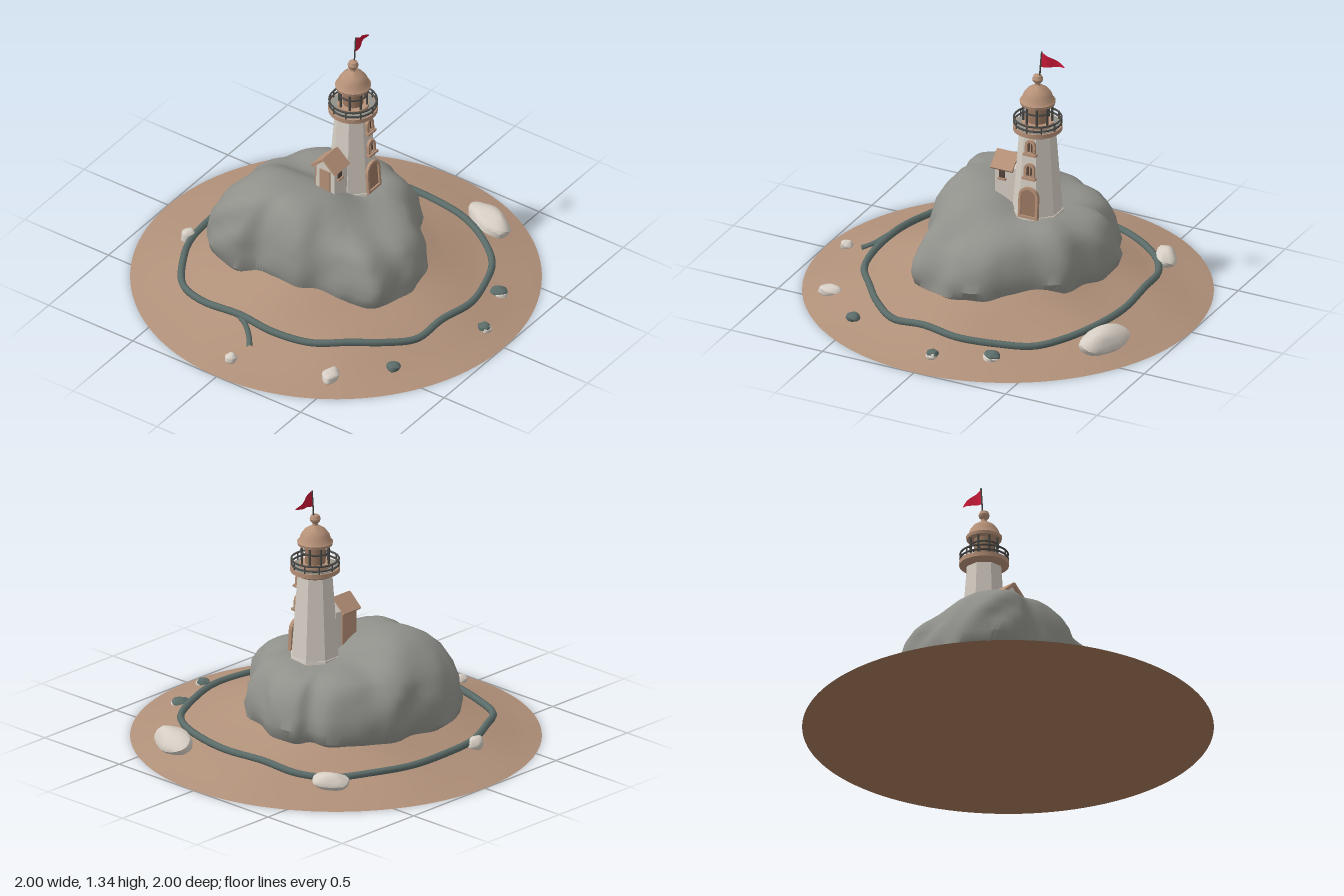
import * as THREE from 'three';
import { toCreasedNormals } from 'three/addons/utils/BufferGeometryUtils.js';

const mat = (name, color, side = THREE.FrontSide) => {
  const m = new THREE.MeshStandardMaterial({ color, side });
  m.name = name;
  return m;
};
const V = (x, y, z) => new THREE.Vector3(x, y, z);

// Ground height at a distance from the centre
const PROFILE = [[0, 0.25], [0.3, 0.23], [0.4, 0.195], [0.5, 0.155], [0.6, 0.12], [0.7, 0.085], [0.8, 0.055], [0.9, 0.026], [1, 0]];
function groundY(x, z) {
  const r = Math.min(Math.hypot(x, z), 1);
  const i = Math.max(1, PROFILE.findIndex(p => p[0] >= r));
  const [a, b] = [PROFILE[i - 1], PROFILE[i]];
  const y = a[1] + (b[1] - a[1]) * (r - a[0]) / (b[0] - a[0]);
  return y + 0.022 * r * (1 - r) * (Math.sin(9 * x + 2 * z) + Math.sin(11 * z - 4 * x));
}

// Skin made from closed rings of points, running clockwise seen from above, outermost first
function loft(rings) {
  const n = rings[0].length, index = [];
  for (let j = 0; j < rings.length - 1; j++) for (let i = 0; i < n; i++) {
    const k = (i + 1) % n, a = j * n + i, b = j * n + k, c = a + n, d = b + n;
    index.push(a, c, b, b, c, d);
  }
  const g = new THREE.BufferGeometry();
  g.setAttribute('position', new THREE.Float32BufferAttribute(rings.flat().flatMap(p => [p.x, p.y, p.z]), 3));
  g.setIndex(index);
  g.computeVertexNormals();
  return g;
}

// Arched outline standing on y = 0
function archShape(w, h) {
  const s = new THREE.Shape(), r = w / 2;
  s.moveTo(-r, 0);
  s.lineTo(r, 0);
  s.lineTo(r, h - r);
  s.absarc(0, h - r, r, 0, Math.PI, false);
  s.lineTo(-r, 0);
  return s;
}

export function createModel() {
  const model = new THREE.Group();
  const sand = mat('sand', 0xb09079), soil = mat('brown earth', 0xa67a5a);
  const rockGrey = mat('rock grey', 0x90918b), plaster = mat('plaster white', 0xd6cec4);
  const trim = mat('warm trim', 0xb69178), iron = mat('dark iron', 0x4b4a46);
  const ropeTeal = mat('rope teal', 0x5b6c69), glass = mat('dark glass', 0x57463c);
  const wood = mat('door wood', 0x9a7860), red = mat('flag red', 0xcb1838, THREE.DoubleSide);
  const add = (parent, name, geo, m, x = 0, y = 0, z = 0) => {
    const mesh = new THREE.Mesh(geo, m);
    mesh.name = name;
    mesh.position.set(x, y, z);
    parent.add(mesh);
    return mesh;
  };

  // Island mound
  const rings = [];
  for (let j = 0; j <= 30; j++) rings.push(Array.from({ length: 120 }, (_, i) => {
    const a = i / 120 * Math.PI * 2, r = 1 - j / 30;
    const x = r * Math.cos(a), z = r * Math.sin(a);
    return V(x, groundY(x, z), z);
  }));
  add(model, 'mound', loft(rings), sand);
  add(model, 'underside', new THREE.CircleGeometry(1, 120), soil).rotation.x = Math.PI / 2;

  // Large rock: outline seen from above, swept up and inwards
  const outline = [[-0.4, -0.42], [-0.32, -0.53], [-0.18, -0.57], [0, -0.55], [0.13, -0.55], [0.23, -0.5], [0.33, -0.45], [0.43, -0.35],
    [0.45, -0.25], [0.51, -0.2], [0.52, -0.05], [0.46, 0.07], [0.42, 0.2], [0.3, 0.28], [0.2, 0.38], [0.1, 0.47], [-0.05, 0.51],
    [-0.15, 0.47], [-0.29, 0.44], [-0.33, 0.3], [-0.35, 0.15], [-0.4, 0.05], [-0.4, -0.1], [-0.38, -0.2], [-0.42, -0.3]];
  const edge = new THREE.CatmullRomCurve3(outline.map(([x, z]) => V(x, 0, z)), true).getPoints(140).slice(0, -1);
  const layers = [[0.92, 0], [0.99, 0.12], [1.01, 0.3], [0.99, 0.48], [0.96, 0.62], [0.92, 0.75], [0.86, 0.86], [0.78, 0.93], [0.69, 0.97],
    [0.58, 1], [0.44, 1], [0.3, 1], [0.15, 1], [0, 1]];
  const cx = 0.04, cz = -0.06;
  const rockRings = layers.map(([s, t]) => edge.map(p => {
    const bump = Math.sin(13 * p.x + 9 * t) * Math.sin(12 * p.z - 7 * t) + 0.5 * Math.sin(25 * p.x - 19 * p.z + 11 * t)
      + 0.6 * Math.abs(Math.sin(10 * p.x + 14 * p.z - 5 * t)) - 0.3;
    const k = s * (1 + 0.02 * bump * (t < 0.95 ? 1 : 0.3));
    const x = cx + (p.x - cx) * k, z = cz + (p.z - cz) * k;
    const hump = Math.exp(-(((x + 0.2) / 0.24) ** 4) - ((z + 0.17) / 0.29) ** 4);
    const top = 0.468 + 0.105 * hump - 0.14 * Math.max(0, z - 0.15) - 0.1 * Math.max(0, x - 0.3)
      + 0.007 * Math.sin(17 * x + 3) * Math.sin(15 * z);
    return V(x, 0.13 + (top - 0.13) * t, z);
  }));
  add(model, 'rock', toCreasedNormals(loft(rockRings), 0.7), rockGrey);

  // Rope laid round the mound, with a loose tail
  const ropePath = [[0, -0.7], [0.2, -0.69], [0.4, -0.61], [0.55, -0.5], [0.64, -0.35], [0.67, -0.15], [0.68, 0.1], [0.64, 0.32],
    [0.55, 0.5], [0.45, 0.61], [0.3, 0.68], [0.1, 0.73], [-0.1, 0.7], [-0.28, 0.68], [-0.42, 0.58], [-0.52, 0.46], [-0.63, 0.3],
    [-0.67, 0.1], [-0.66, -0.1], [-0.64, -0.35], [-0.58, -0.5], [-0.42, -0.61], [-0.25, -0.68]];
  const lay = lift => ([x, z]) => V(x, groundY(x, z) + lift + (x < -0.3 && x > -0.7 ? 0.01 : 0), z);
  add(model, 'rope', new THREE.TubeGeometry(new THREE.CatmullRomCurve3(ropePath.map(lay(0.012)), true), 180, 0.018, 8, true), ropeTeal);
  const tail = [[-0.66, -0.11], [-0.69, -0.05], [-0.73, 0], [-0.78, 0.04]].map(lay(0.006));
  add(model, 'ropeTail', new THREE.TubeGeometry(new THREE.CatmullRomCurve3(tail), 20, 0.014, 8), ropeTeal);

  // Boulders and pebbles: x, y, z, half sizes, turn, material
  [[0.725, 0.068, 0.395, 0.08, 0.07, 0.145, -0.4, plaster], [0.59, 0.075, -0.53, 0.055, 0.047, 0.095, 0.5, plaster],
    [-0.72, 0.045, 0.48, 0.06, 0.03, 0.04, 0.2, plaster], [-0.88, 0.04, 0, 0.032, 0.025, 0.03, 0, plaster],
    [-0.24, 0.085, -0.71, 0.042, 0.04, 0.035, 0, plaster], [0.3, 0.045, 0.765, 0.042, 0.022, 0.04, 0.6, plaster],
    [0.03, 0.042, 0.872, 0.028, 0.02, 0.03, 0, plaster], [0.3, 0.053, 0.755, 0.042, 0.022, 0.045, 0.6, ropeTeal],
    [-0.49, 0.05, 0.69, 0.035, 0.022, 0.035, 0, ropeTeal], [0.03, 0.05, 0.863, 0.03, 0.019, 0.033, 0, ropeTeal]]
    .forEach(([x, y, z, sx, sy, sz, turn, m], i) => {
      const g = new THREE.IcosahedronGeometry(1, 3), p = g.attributes.position;
      for (let v = 0; v < p.count; v++) {
        const q = V().fromBufferAttribute(p, v);
        q.multiplyScalar(1 + 0.08 * Math.sin(4 * q.x + i) * Math.sin(3.5 * q.z + 2 * i) + 0.05 * Math.sin(6 * q.y + 3 * q.x));
        p.setXYZ(v, q.x * sx, Math.max(q.y * sy, 0.004 - y), q.z * sz);
      }
      add(model, m === plaster ? 'boulder' : 'pebble', toCreasedNormals(g, 0.6), m, x, y, z).rotation.y = turn;
    });

  // Lighthouse tower, eight flat sides
  const house = new THREE.Group();
  house.name = 'lighthouse';
  house.position.set(0.157, 0, -0.01);
  model.add(house);
  const cyl = (rt, rb, h, n) => new THREE.CylinderGeometry(rt, rb, h, n, 1, false, Math.PI / 8);
  add(house, 'tower', toCreasedNormals(cyl(0.089, 0.124, 0.46, 8), 0.4), plaster, 0, 0.68, 0);
  add(house, 'towerFoot', toCreasedNormals(cyl(0.126, 0.13, 0.025, 8), 0.4), plaster, 0, 0.468, 0);

  // Door and windows on the sloping front wall
  const opening = (name, y, w, h, inner) => {
    const g = new THREE.Group();
    g.name = name;
    g.position.set(0.008, y, 0.115 - 0.072 * (y - 0.45) - 0.006);
    g.rotation.x = -0.07;
    const frame = archShape(w, h), hole = archShape(w - 0.026, h - 0.026);
    frame.holes.push(new THREE.Path(hole.getPoints(8).map(p => p.add(new THREE.Vector2(0, 0.013)))));
    add(g, 'frame', new THREE.ExtrudeGeometry(frame, { depth: 0.02, bevelEnabled: false, curveSegments: 8 }), trim);
    add(g, 'panel', new THREE.ExtrudeGeometry(archShape(w - 0.02, h - 0.012), { depth: 0.009, bevelEnabled: false }), inner, 0, 0.003, 0.002);
    if (inner === glass) {
      add(g, 'sill', new THREE.BoxGeometry(w + 0.012, 0.012, 0.032), trim, 0, 0.002, 0.012);
      add(g, 'mullion', new THREE.BoxGeometry(0.006, h - 0.02, 0.014), trim, 0, h / 2, 0.006);
    }
    house.add(g);
  };
  opening('door', 0.475, 0.105, 0.165, wood);
  opening('lowerWindow', 0.685, 0.058, 0.08, glass);
  opening('upperWindow', 0.81, 0.055, 0.078, glass);

  // Gallery deck, lantern core and domed roof
  const lathe = pts => toCreasedNormals(new THREE.LatheGeometry(pts.map(p => new THREE.Vector2(...p)), 32), 0.6);
  add(house, 'gallery', lathe([[0, 0.895], [0.09, 0.895], [0.11, 0.908], [0.121, 0.912], [0.121, 0.935], [0, 0.935]]), trim);
  add(house, 'galleryFloor', new THREE.CylinderGeometry(0.112, 0.112, 0.004, 32), rockGrey, 0, 0.936, 0);
  add(house, 'lanternBase', lathe([[0.078, 0.93], [0.078, 0.955], [0, 0.955]]), trim);
  add(house, 'lanternCore', lathe([[0.05, 0.95], [0.05, 1.06]]), wood);
  add(house, 'dome', lathe([[0, 1.05], [0.085, 1.05], [0.088, 1.065], [0.078, 1.075], [0.07, 1.1], [0.052, 1.125], [0.026, 1.142],
    [0.014, 1.15], [0.014, 1.16], [0.024, 1.17], [0.027, 1.183], [0.02, 1.2], [0, 1.208]]), trim);
  for (let i = 0; i < 8; i++) {
    const a = (i + 0.5) * Math.PI / 4;
    add(house, 'lanternPost', new THREE.CylinderGeometry(0.006, 0.006, 0.11, 6), iron, 0.07 * Math.sin(a), 1.0, 0.07 * Math.cos(a));
  }
  add(house, 'lanternBand', new THREE.TorusGeometry(0.07, 0.005, 6, 32), iron, 0, 1.015, 0).rotation.x = Math.PI / 2;

  // Gallery railing
  for (let i = 0; i < 10; i++) {
    const a = i * Math.PI / 5;
    add(house, 'railPost', new THREE.CylinderGeometry(0.004, 0.004, 0.045, 6), iron, 0.116 * Math.sin(a), 0.953, 0.116 * Math.cos(a));
  }
  for (const y of [0.95, 0.974])
    add(house, 'rail', new THREE.TorusGeometry(0.116, 0.005, 6, 40), iron, 0, y, 0).rotation.x = Math.PI / 2;

  // Flagpole and rippled pennant
  const pole = new THREE.LineCurve3(V(0.01, 1.19, 0), V(0.022, 1.335, 0));
  add(house, 'flagpole', new THREE.TubeGeometry(pole, 1, 0.004, 6), iron);
  const flag = new THREE.PlaneGeometry(1, 1, 12, 4), fp = flag.attributes.position;
  for (let i = 0; i < fp.count; i++) {
    const u = fp.getX(i) + 0.5, v = fp.getY(i);
    fp.setXYZ(i, 0.02 + 0.123 * u, 1.292 - 0.02 * u + v * 0.084 * (1 - u * 0.95), 0.007 * Math.sin(u * 7) - 0.01 * u);
  }
  flag.computeVertexNormals();
  add(house, 'flag', flag, red);

  // Side shed with a gabled roof, ridge running towards the tower
  const shed = new THREE.Group();
  shed.name = 'shed';
  shed.position.set(-0.055, 0.45, -0.025);
  model.add(shed);
  const gable = new THREE.Shape([[-0.055, 0], [0.055, 0], [0.055, 0.235], [0, 0.28], [-0.055, 0.235]].map(p => new THREE.Vector2(...p)));
  add(shed, 'shedWalls', new THREE.ExtrudeGeometry(gable, { depth: 0.14, bevelEnabled: false }), plaster).rotation.y = Math.PI / 2;
  for (const s of [-1, 1])
    add(shed, 'shedRoof', new THREE.BoxGeometry(0.12, 0.014, 0.1), trim, 0.043, 0.254, s * 0.035).rotation.x = s * 0.74;
  add(shed, 'shedWindow', new THREE.BoxGeometry(0.03, 0.04, 0.008), glass, 0.04, 0.19, 0.056);
  add(shed, 'shedWindowSill', new THREE.BoxGeometry(0.042, 0.01, 0.02), trim, 0.04, 0.167, 0.058);
  add(shed, 'shedBackBoards', new THREE.BoxGeometry(0.1, 0.2, 0.008), trim, 0.05, 0.125, -0.057);
  add(shed, 'shedEndBoards', new THREE.BoxGeometry(0.008, 0.13, 0.06), trim, -0.001, 0.15, 0);

  return model;
}
